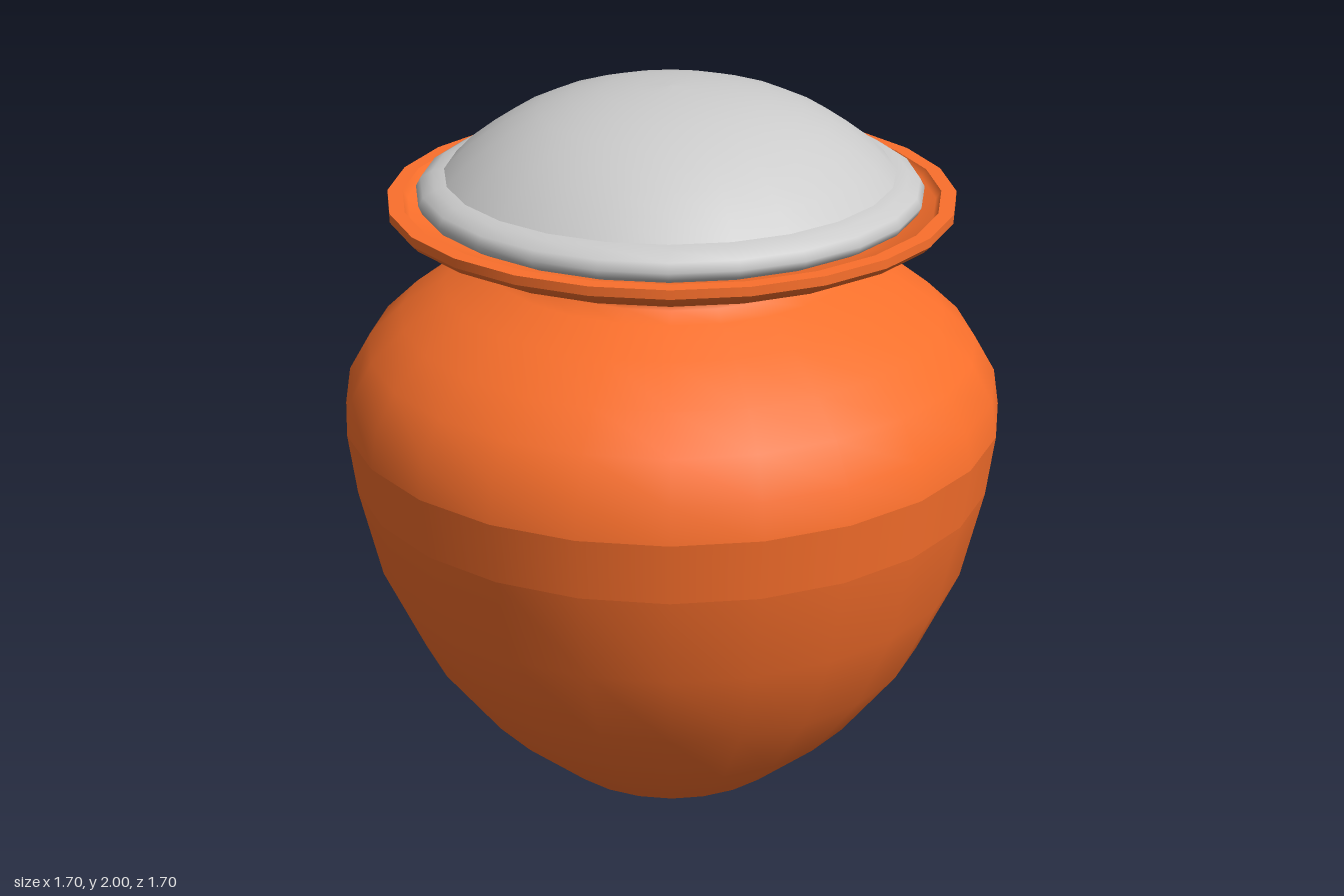
import * as THREE from 'three';

const SIDES = 24;
const clay = new THREE.MeshStandardMaterial({ color: 0xfb702c, side: THREE.DoubleSide });
const grey = new THREE.MeshStandardMaterial({ color: 0xcccccc, side: THREE.DoubleSide });

// Turned part from [radius, height] pairs; upward order faces outwards
function turned(name, profile, material) {
  const points = profile.map(([r, y]) => new THREE.Vector2(r, y));
  const mesh = new THREE.Mesh(new THREE.LatheGeometry(points, SIDES), material);
  mesh.name = name;
  return mesh;
}

export function createModel() {
  const model = new THREE.Group();
  model.name = 'lidded urn';

  // Outer wall, split where the surface has hard edges
  const urn = new THREE.Group();
  urn.name = 'urn';
  urn.add(
    turned('lowerBody', [[0.105, 0], [0.33, 0.14], [0.52, 0.31], [0.67, 0.51], [0.775, 0.74], [0.83, 0.98]], clay),
    turned('bellyBand', [[0.83, 0.98], [0.85, 1.14]], clay),
    turned('shoulderAndNeck', [
      [0.85, 1.14], [0.835, 1.235], [0.78, 1.33], [0.695, 1.41], [0.58, 1.487],
      [0.465, 1.535], [0.428, 1.56], [0.42, 1.58], [0.435, 1.603],
    ], clay),
    turned('rimUnderside', [[0.435, 1.603], [0.57, 1.628], [0.65, 1.655], [0.7, 1.68], [0.716, 1.697]], clay),
    turned('rimEdge', [[0.716, 1.697], [0.716, 1.72]], clay),
    turned('rimTop', [[0.716, 1.72], [0.678, 1.72]], clay),

    // Bowl of the rim, inner wall and the drain hole in the foot
    turned('rimBowl', [[0.678, 1.72], [0.665, 1.7], [0.56, 1.66], [0.43, 1.632]], clay),
    turned('innerWall', [
      [0.43, 1.632], [0.39, 1.6], [0.39, 1.55], [0.45, 1.505], [0.56, 1.455], [0.67, 1.38],
      [0.75, 1.31], [0.8, 1.23], [0.815, 1.14], [0.8, 0.98], [0.745, 0.75],
      [0.645, 0.53], [0.5, 0.34], [0.31, 0.18], [0.105, 0.06],
    ], clay),
    turned('footHole', [[0.105, 0.06], [0.105, 0]], clay),
  );
  model.add(urn);

  // Domed lid with a rounded flange, lying slightly off centre in the rim
  const lid = new THREE.Group();
  lid.name = 'lid';
  lid.add(
    turned('lidFlange', [
      [0.54, 1.7], [0.6, 1.705], [0.628, 1.72], [0.637, 1.74], [0.625, 1.762], [0.595, 1.78], [0.565, 1.785],
    ], grey),
    turned('lidDome', [
      [0.565, 1.785], [0.52, 1.83], [0.46, 1.875], [0.4, 1.912], [0.33, 1.945],
      [0.25, 1.97], [0.17, 1.987], [0.08, 1.997], [0, 2],
    ], grey),
    turned('lidInside', [
      [0, 1.965], [0.16, 1.953], [0.31, 1.912], [0.43, 1.85], [0.525, 1.77], [0.54, 1.7],
    ], grey),
  );
  lid.position.set(0.01, 0, 0.025);
  model.add(lid);

  return model;
}
